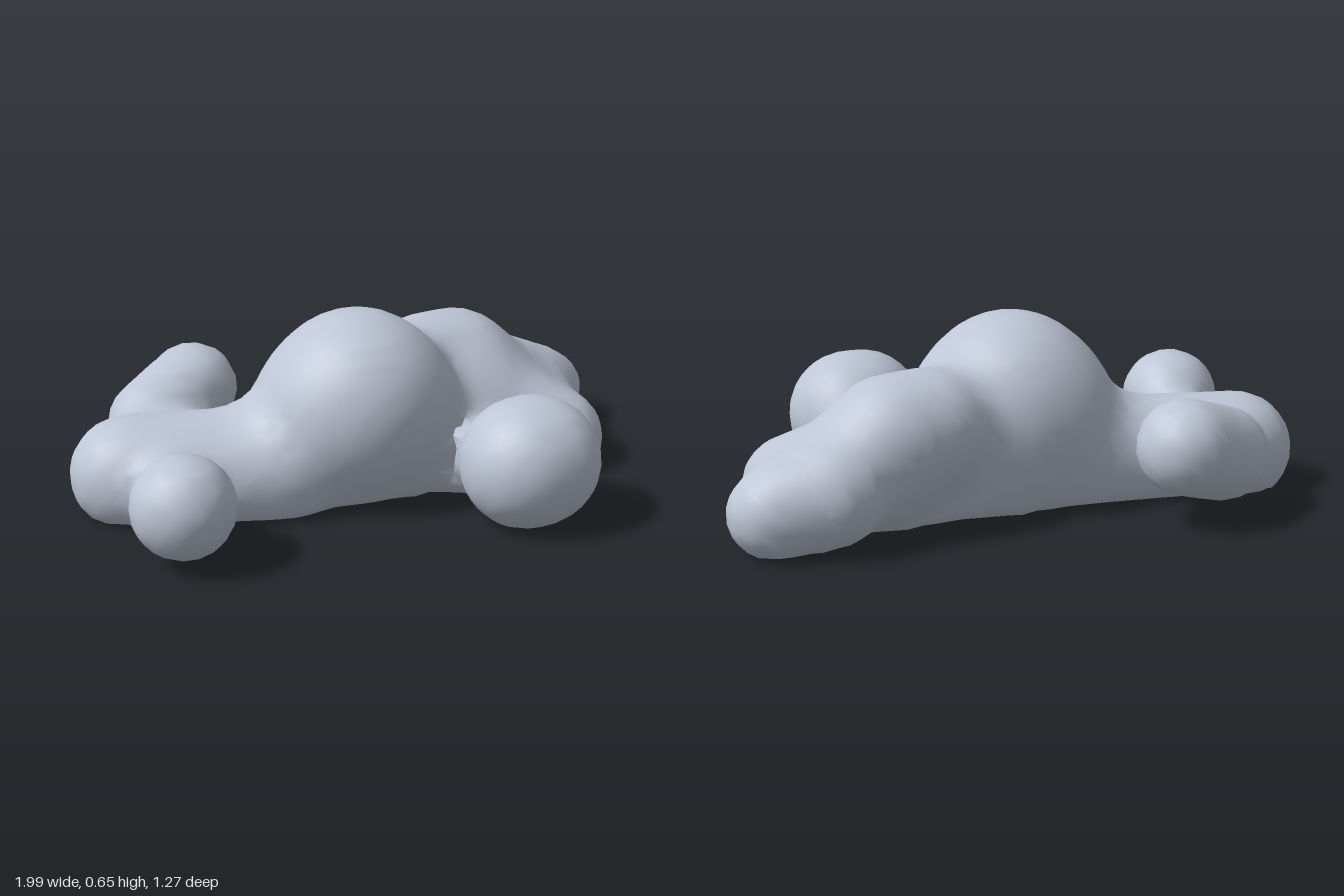
import * as THREE from 'three';
import { toCreasedNormals } from 'three/addons/utils/BufferGeometryUtils.js';

// Each lobe is a tapered capsule: start, start radius, end, end radius
const lobe = (a, ra, b = a, rb = ra) => ({ a, ra, rb, d: b.map((v, i) => v - a[i]) });
const lobes = [
  lobe([-0.01, 0.325, -0.025], 0.322),                            // central dome
  lobe([-0.12, 0.25, -0.045], 0.26, [0.1, 0.25, -0.045], 0.26),   // dome skirt
  lobe([-0.3, 0.13, -0.04], 0.2, [0.35, 0.14, -0.11], 0.23),      // low spine
  lobe([-0.8, 0.135, -0.1], 0.195, [-0.3, 0.13, -0.05], 0.195),   // right arm
  lobe([-0.68, 0.12, 0.03], 0.14, [-0.3, 0.12, 0.03], 0.15),      // arm front swell
  lobe([0.32, 0.325, -0.25], 0.2, [0.45, 0.315, -0.285], 0.195),  // shoulder
  lobe([0.45, 0.29, -0.28], 0.19, [0.87, 0.13, -0.41], 0.13),     // rear flank
  lobe([0.66, 0.17, -0.42], 0.155, [0.8, 0.14, -0.41], 0.14),     // flank end
  lobe([0.45, 0.22, -0.17], 0.19, [0.735, 0.09, -0.04], 0.18),    // front flank
  lobe([0.5, 0.21, -0.22], 0.2, [0.76, 0.12, -0.22], 0.14),       // web between flanks
  lobe([0.425, 0.215, 0.42], 0.21, [0.475, 0.215, 0.41], 0.21),   // big front ball
  lobe([0.45, 0.19, 0.36], 0.19, [0.43, 0.1, 0.1], 0.11),         // its neck
  lobe([0.32, 0.09, 0.09], 0.09, [0.54, 0.09, 0.12], 0.09),       // neck root
  lobe([-0.72, 0.2, 0.37], 0.172),                                // small front ball
  lobe([-0.69, 0.13, 0.08], 0.09, [-0.7, 0.17, 0.28], 0.08),      // its neck
  lobe([-0.48, 0.27, -0.48], 0.16, [-0.65, 0.2, -0.36], 0.16),    // rear lobe
];

function lobeDistance({ a, ra, rb, d }, x, y, z) {
  const px = x - a[0], py = y - a[1], pz = z - a[2];
  const len = d[0] ** 2 + d[1] ** 2 + d[2] ** 2;
  const t = len ? Math.min(1, Math.max(0, (px * d[0] + py * d[1] + pz * d[2]) / len)) : 0;
  return Math.hypot(px - d[0] * t, py - d[1] * t, pz - d[2] * t) - ra - (rb - ra) * t;
}

// Smooth union of the lobes, cut flat at the ground
function field(x, y, z) {
  const k = 0.09;
  let f = 10;
  for (const l of lobes) {
    const g = lobeDistance(l, x, y, z);
    const h = Math.max(0, k - Math.abs(f - g)) / k;
    f = Math.min(f, g) - h * h * k / 4;
  }
  return Math.max(f, -y);
}

// Skin the field with one vertex per crossed grid cell
function skin() {
  const h = 0.05, min = [-1.12, -0.07, -0.77], n = [46, 18, 32];
  const stride = [1, n[0], n[0] * n[1]];
  const values = new Float32Array(n[0] * n[1] * n[2]);
  const at = (i, j, k) => i + j * stride[1] + k * stride[2];
  const each = (fn) => {
    for (let k = 1; k < n[2] - 1; k++)
      for (let j = 0; j < n[1] - 1; j++)
        for (let i = 1; i < n[0] - 1; i++) fn(i, j, k, at(i, j, k));
  };
  for (let k = 0; k < n[2]; k++)
    for (let j = 0; j < n[1]; j++)
      for (let i = 0; i < n[0]; i++)
        values[at(i, j, k)] = field(min[0] + i * h, min[1] + j * h, min[2] + k * h);

  const positions = [], indices = [], cellVertex = new Map();
  each((i, j, k, id) => {
    const sum = [0, 0, 0];
    let count = 0;
    for (let c = 0; c < 8; c++) {
      for (let axis = 0; axis < 3; axis++) {
        if (c & (1 << axis)) continue;
        const o = [c & 1, (c >> 1) & 1, (c >> 2) & 1];
        const p = at(i + o[0], j + o[1], k + o[2]);
        const v0 = values[p], v1 = values[p + stride[axis]];
        if ((v0 < 0) === (v1 < 0)) continue;
        o[axis] += v0 / (v0 - v1);
        o.forEach((v, q) => { sum[q] += v; });
        count++;
      }
    }
    if (!count) return;
    const p = [i, j, k].map((v, q) => min[q] + (v + sum[q] / count) * h);
    // Pull the vertex onto the surface
    for (let step = 0; step < 3; step++) {
      const e = 0.002, f = field(...p);
      const g = [0, 1, 2].map((q) => {
        const s = [...p];
        s[q] += e;
        return (field(...s) - f) / e;
      });
      const g2 = Math.max(0.3, g[0] ** 2 + g[1] ** 2 + g[2] ** 2);
      for (let q = 0; q < 3; q++) p[q] -= f * g[q] / g2;
    }
    if (p[1] < 0.006) p[1] = 0;
    cellVertex.set(id, positions.length / 3);
    positions.push(...p);
  });

  // One quad around each crossed grid edge
  each((i, j, k, id) => {
    for (let axis = 0; axis < 3; axis++) {
      const inside = values[id] < 0;
      if (inside === (values[id + stride[axis]] < 0)) continue;
      const u = stride[(axis + 1) % 3], w = stride[(axis + 2) % 3];
      const [a, b, c, d] = [id, id - u, id - u - w, id - w].map((q) => cellVertex.get(q));
      if (inside) indices.push(a, b, c, a, c, d);
      else indices.push(a, c, b, a, d, c);
    }
  });

  const geometry = new THREE.BufferGeometry();
  geometry.setAttribute('position', new THREE.Float32BufferAttribute(positions, 3));
  geometry.setIndex(indices);
  return toCreasedNormals(geometry, 1);
}

export function createModel() {
  const group = new THREE.Group();
  group.name = 'blobCluster';
  const paleGrey = new THREE.MeshStandardMaterial({ color: 0xbec6d6 });
  paleGrey.name = 'paleBlueGrey';
  const body = new THREE.Mesh(skin(), paleGrey);
  body.name = 'blendedBody';
  group.add(body);
  return group;
}
